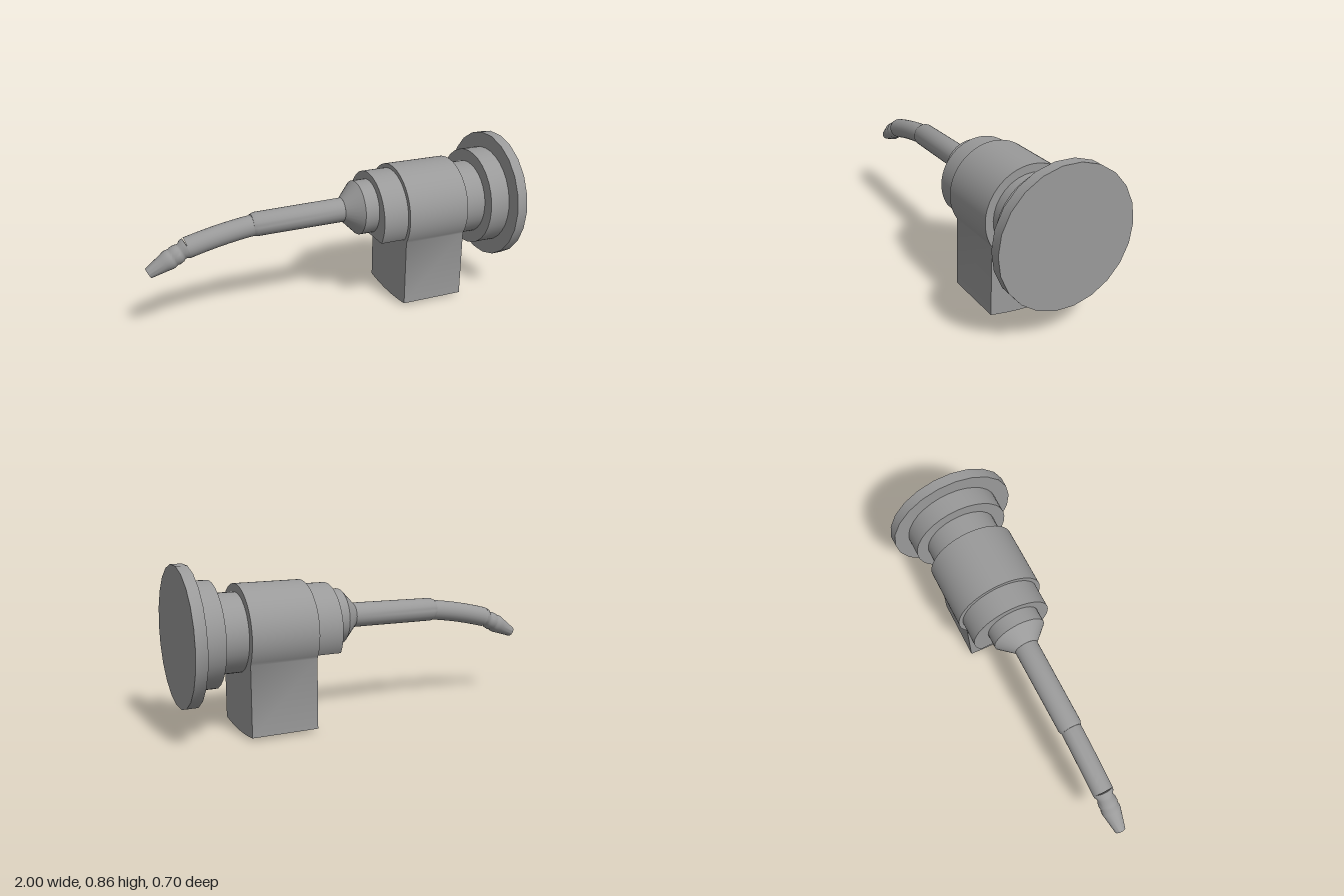
import * as THREE from 'three';
import { toCreasedNormals } from 'three/addons/utils/BufferGeometryUtils.js';

const material = new THREE.MeshStandardMaterial({ color: 0x9a9a9a });
const AXIS_Y = 0.507; // height of the body axis
const NECK_Y = 0.543; // height of the neck axis
const NECK_Z = 0.01;

function part(name, geometry) {
  const mesh = new THREE.Mesh(toCreasedNormals(geometry, 0.7), material);
  mesh.name = name;
  return mesh;
}

// Turned part: profile of [distance towards -x, radius], tilted down by an angle
function turned(name, profile, x, y, z = 0, sides = 32, tilt = 0) {
  const points = profile.map(([d, r]) => new THREE.Vector2(r, d));
  const mesh = part(name, new THREE.LatheGeometry(points, sides).rotateZ(Math.PI / 2 + tilt));
  mesh.position.set(x, y, z);
  return mesh;
}

// Side-profile slab extruded along x
function slab(name, shape, x0, x1) {
  const geometry = new THREE.ExtrudeGeometry(shape, { depth: x1 - x0, bevelEnabled: false, curveSegments: 32 });
  const mesh = part(name, geometry.rotateY(Math.PI / 2));
  mesh.position.x = x0;
  return mesh;
}

export function createModel() {
  const model = new THREE.Group();

  // Mounting flange and stepped rear section
  model.add(turned('flange', [[0, 0], [0, 0.352], [0.058, 0.352], [0.058, 0]], 1, AXIS_Y, 0, 22));
  model.add(turned('rearCollar', [[0, 0], [0, 0.268], [0.115, 0.268], [0.115, 0]], 0.945, AXIS_Y));
  model.add(turned('rearShaft', [[0, 0], [0, 0.202], [0.2, 0.202], [0.2, 0]], 0.86, AXIS_Y));

  // Clamp body: round top running smoothly into a block with a slightly bowed base
  const body = new THREE.Shape();
  body.moveTo(-0.206, 0.016);
  body.quadraticCurveTo(0, -0.016, 0.206, 0.016);
  const a = Math.acos(0.206 / 0.243);
  body.absarc(0, AXIS_Y, 0.243, -a, Math.PI + a, false);
  body.closePath();
  model.add(slab('clampBody', body, 0.35, 0.698));

  // Front collar: round with a flat underside
  const collar = new THREE.Shape();
  const b = Math.asin(0.118 / 0.22);
  collar.absarc(0, AXIS_Y, 0.22, -b, Math.PI + b, false);
  collar.closePath();
  model.add(slab('frontCollar', collar, 0.212, 0.36));

  // Tapered neck base and straight neck sleeve
  model.add(turned('neckBase', [[0, 0], [0, 0.146], [0.085, 0.146], [0.165, 0.065], [0.165, 0]],
    0.22, NECK_Y, NECK_Z));
  model.add(turned('neckSleeve', [[0, 0], [0, 0.065], [0.505, 0.063], [0.525, 0.055], [0.525, 0]],
    0.08, NECK_Y, NECK_Z, 28, 0.012));

  // Bent neck
  const path = new THREE.CatmullRomCurve3([
    [-0.38, 0.538], [-0.48, 0.528], [-0.6, 0.509], [-0.7, 0.488], [-0.785, 0.467],
  ].map(([x, y]) => new THREE.Vector3(x, y, NECK_Z)));
  model.add(part('bentNeck', new THREE.TubeGeometry(path, 20, 0.055, 24)));

  // Nozzle: rounded end of the neck, holder and hollow conical tip
  model.add(turned('nozzle', [
    [-0.01, 0], [-0.01, 0.054], [0.008, 0.053], [0.022, 0.044], [0.032, 0.044],
    [0.042, 0.049], [0.066, 0.051], [0.074, 0.048], [0.082, 0.048], [0.09, 0.051],
    [0.108, 0.051], [0.124, 0.047], [0.222, 0.028], [0.222, 0.017], [0.18, 0.017], [0.18, 0],
  ], -0.788, 0.465, NECK_Z, 24, 0.48));

  return model;
}
